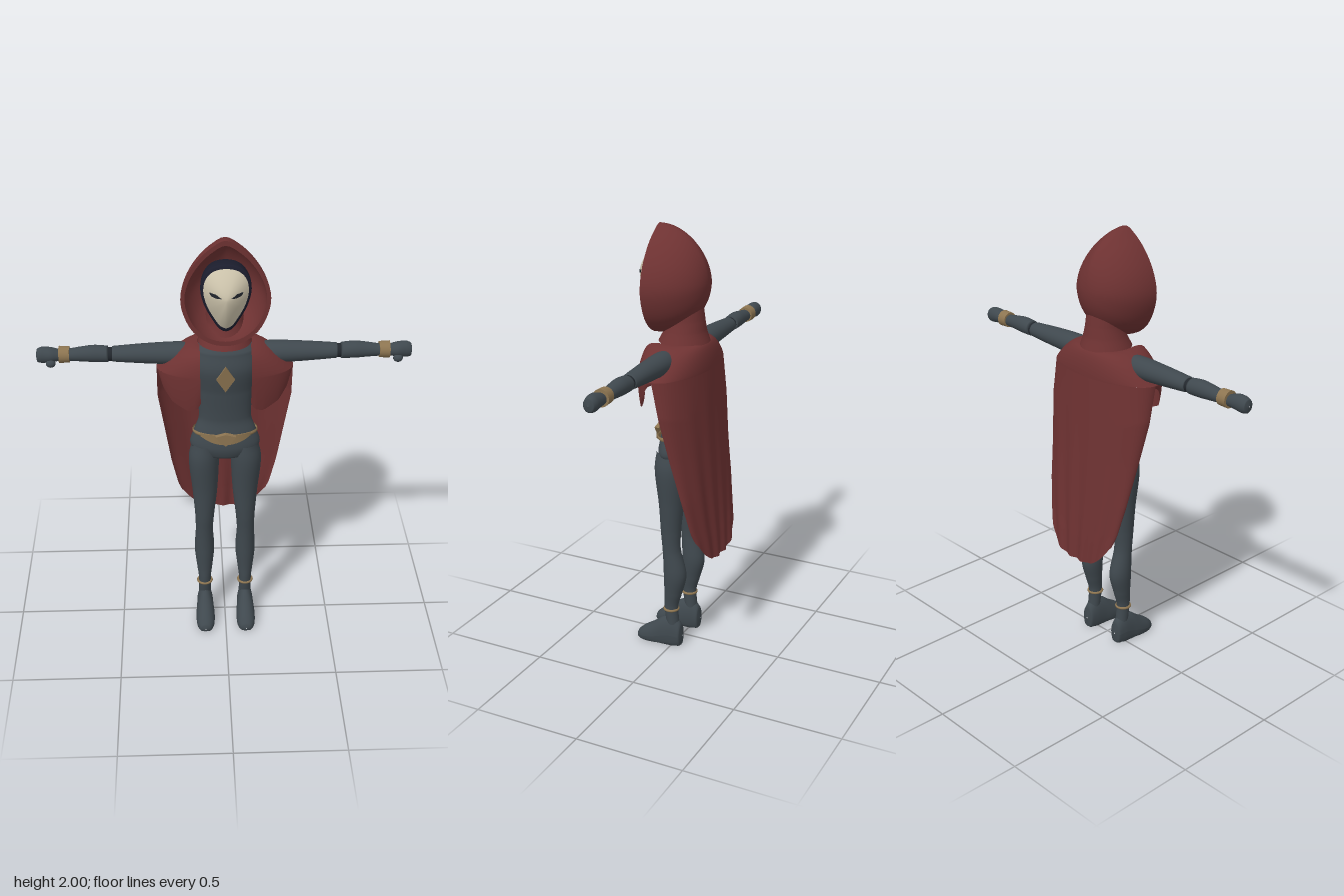
import * as THREE from 'three';
import { mergeVertices } from 'three/addons/utils/BufferGeometryUtils.js';
import { ParametricGeometry } from 'three/addons/geometries/ParametricGeometry.js';

const V = (x, y, z = 0) => new THREE.Vector3(x, y, z);
const TAU = Math.PI * 2;

// smooth tube of elliptical rings [a, centreU, centreV, radiusU, radiusV] along axis 'x', 'y' or 'z'
function loft(axis, rings, sides = 28, steps = 5) {
  const centre = new THREE.CatmullRomCurve3(rings.map(r => V(r[0], r[1], r[2])));
  const radius = new THREE.CatmullRomCurve3(rings.map(r => V(r[3], r[4])));
  return new ParametricGeometry((u, v, p) => {
    const c = centre.getPoint(v), r = radius.getPoint(v), t = u * TAU;
    const a = c.x, b = c.y + r.x * Math.cos(t), d = c.z + r.y * Math.sin(t);
    if (axis === 'x') p.set(a, b, d);
    else if (axis === 'y') p.set(d, a, b);
    else p.set(b, d, a);
  }, sides, (rings.length - 1) * steps);
}

// closed outline symmetric about x = 0, from its right half listed bottom to top
function outline(half) {
  const left = half.slice(1, -1).reverse().map(([x, y]) => V(-x, y));
  return new THREE.CatmullRomCurve3([...half.map(([x, y]) => V(x, y)), ...left], true);
}

// dome that shrinks an outline towards a centre height while moving along z
function dome(curve, cy, z0, depth, scale = 1, power = 2, root = 2) {
  return new ParametricGeometry((u, v, p) => {
    const o = curve.getPoint(depth < 0 ? 1 - u : u), s = Math.cos(v * 1.567);
    p.set(o.x * s * scale, cy + (o.y - cy) * s * scale, z0 + depth * Math.pow(Math.max(0, 1 - Math.pow(s, power)), 1 / root));
  }, 56, 20);
}

// linear lookup in a list of [key, value...] with falling keys
function lookup(table, key, col = 1) {
  let i = 0;
  while (i < table.length - 2 && key < table[i + 1][0]) i++;
  const [a, b] = [table[i], table[i + 1]];
  return THREE.MathUtils.lerp(a[col], b[col], THREE.MathUtils.clamp((key - a[0]) / (b[0] - a[0]), 0, 1));
}

function mirrored(geometry) {
  const g = geometry.index ? geometry.clone() : mergeVertices(geometry);
  g.scale(-1, 1, 1);
  const idx = g.index.array;
  for (let i = 0; i < idx.length; i += 3) [idx[i], idx[i + 1]] = [idx[i + 1], idx[i]];
  return g;
}

function plate(points, depth) {
  return new THREE.ExtrudeGeometry(new THREE.Shape(points.map(([x, y]) => new THREE.Vector2(x, y))), { depth, bevelEnabled: false });
}

export function createModel() {
  const model = new THREE.Group();
  model.name = 'hoodedFigure';
  const material = (name, color, side = THREE.FrontSide) => Object.assign(new THREE.MeshStandardMaterial({ color, side }), { name });
  const cloth = material('redCloth', 0x6e3232, THREE.DoubleSide);
  const suit = material('greySuit', 0x3f484e);
  const gold = material('dullGold', 0x8d7551, THREE.DoubleSide);
  const bone = material('boneMask', 0xcdc4ac);
  const navy = material('darkNavy', 0x1b1d2d);
  const dark = material('darkJoint', 0x22272d);

  const add = (name, geometry, mat) => {
    const mesh = new THREE.Mesh(geometry, mat);
    mesh.name = name;
    model.add(mesh);
    return mesh;
  };
  const addPair = (name, geometry, mat) => {
    add(name + 'Left', geometry, mat);
    add(name + 'Right', mirrored(geometry), mat);
  };

  // torso and neck
  add('torso', loft('y', [
    [0.895, 0.01, 0, 0.01, 0.01], [0.925, 0.01, 0, 0.068, 0.12], [0.98, 0.01, 0, 0.08, 0.16],
    [1.05, 0.012, 0, 0.068, 0.14], [1.12, 0.01, 0, 0.06, 0.118], [1.25, 0.01, 0, 0.07, 0.125],
    [1.38, 0.01, 0, 0.09, 0.15], [1.45, 0, 0, 0.085, 0.14], [1.49, 0, 0, 0.06, 0.09],
    [1.53, 0, 0, 0.045, 0.05], [1.65, 0.01, 0, 0.045, 0.045],
  ], 40), suit);

  // legs
  addPair('leg', loft('y', [
    [0.1, 0, 0.098, 0.03, 0.03], [0.2, 0.01, 0.098, 0.034, 0.029], [0.27, 0, 0.098, 0.043, 0.037],
    [0.37, -0.01, 0.098, 0.055, 0.047], [0.5, 0.008, 0.098, 0.043, 0.041], [0.58, 0.012, 0.096, 0.047, 0.045],
    [0.72, 0.01, 0.094, 0.058, 0.058], [0.9, 0.01, 0.097, 0.076, 0.07], [0.98, 0.01, 0.09, 0.07, 0.06],
  ]), suit);

  // boots with flat soles
  const boot = loft('z', [
    [-0.047, 0.098, 0.05, 0.004, 0.004], [-0.04, 0.098, 0.05, 0.03, 0.06], [0, 0.098, 0.055, 0.038, 0.09],
    [0.05, 0.098, 0.045, 0.041, 0.088], [0.1, 0.098, 0.03, 0.045, 0.066], [0.15, 0.098, 0.02, 0.041, 0.044],
    [0.18, 0.098, 0.015, 0.026, 0.022], [0.187, 0.098, 0.015, 0.003, 0.003],
  ]);
  const bp = boot.attributes.position;
  for (let i = 0; i < bp.count; i++) bp.setY(i, Math.max(0, bp.getY(i)));
  boot.computeVertexNormals();
  addPair('boot', boot, suit);
  addPair('anklet', new THREE.TorusGeometry(0.033, 0.006, 8, 28).rotateX(Math.PI / 2).translate(0.098, 0.185, 0.01), gold);

  // arms, elbows, bracelets and hands
  addPair('upperArm', loft('x', [
    [0.1, 1.425, 0, 0.045, 0.05], [0.2, 1.43, 0, 0.05, 0.055], [0.35, 1.431, 0, 0.044, 0.048],
    [0.46, 1.431, 0, 0.036, 0.042], [0.495, 1.431, 0, 0.033, 0.037], [0.498, 1.431, 0, 0.004, 0.004],
  ]), suit);
  addPair('elbow', new THREE.CylinderGeometry(0.031, 0.031, 0.05, 24).rotateZ(Math.PI / 2).translate(0.5, 1.43, 0), dark);
  addPair('forearm', loft('x', [
    [0.511, 1.431, 0, 0.005, 0.005], [0.514, 1.431, 0, 0.035, 0.037], [0.57, 1.434, 0, 0.038, 0.038],
    [0.63, 1.433, 0, 0.033, 0.034], [0.69, 1.43, 0, 0.027, 0.029], [0.75, 1.43, 0, 0.027, 0.029],
  ]), suit);
  addPair('bracelet', new THREE.CylinderGeometry(0.036, 0.038, 0.046, 24).rotateZ(Math.PI / 2).translate(0.706, 1.432, 0), gold);
  addPair('hand', loft('x', [
    [0.73, 1.43, 0, 0.026, 0.028], [0.765, 1.433, 0.003, 0.034, 0.034], [0.8, 1.432, 0, 0.037, 0.032],
    [0.824, 1.43, 0, 0.03, 0.026], [0.83, 1.43, 0, 0.003, 0.003],
  ]), suit);
  addPair('thumb', new THREE.SphereGeometry(0.018, 16, 12).scale(1.2, 1, 1).translate(0.765, 1.402, 0.029), suit);

  // belt, front sash, buckle and chest diamond
  add('belt', loft('y', [[1.042, 0.02, 0, 0.076, 0.146], [1.05, 0.02, 0, 0.08, 0.149], [1.06, 0.02, 0, 0.076, 0.146]], 40, 3), gold);
  add('beltSash', new ParametricGeometry((u, v, p) => {
    const t = (u - 0.5) * 1.7;
    p.set(Math.sin(t) * 0.15, 1.06 - (1 - v) * (0.015 + 0.035 * Math.cos(t * 1.8)), 0.02 + 0.082 * Math.cos(t));
  }, 20, 3), gold);
  add('buckle', plate([[-0.045, 0.018], [0, 0.03], [0.045, 0.018], [0.025, -0.012], [0, -0.03], [-0.025, -0.012]], 0.022), gold)
    .position.set(0, 1.045, 0.1);
  const diamond = add('chestDiamond', plate([[0, -0.066], [0.041, 0], [0, 0.066], [-0.041, 0]], 0.009), gold);
  diamond.position.set(0, 1.345, 0.093);
  diamond.rotation.x = 0.12;

  // yoke over the shoulders, open at the front
  const EDGE = 0.112;
  add('capeYoke', new ParametricGeometry((u, v, p) => {
    const k = v * Math.PI / 2, r = Math.sin(k), rx = 0.12 + 0.183 * r;
    const a = (u * 2 - 1) * (Math.PI - Math.asin(EDGE / rx)); // measured from the back
    const sx = Math.sin(a), c = Math.cos(a);
    const rz = c > 0 ? 0.11 + 0.035 * r : 0.125 + 0.035 * r;
    p.set(rx * sx, 1.37 + 0.12 * Math.pow(Math.max(0, Math.cos(k)), 1 + 1.2 * sx * sx), -rz * c);
  }, 72, 14), cloth);

  // front panels with a rounded hem
  const hem = [[0.305, 1.36], [0.28, 1.29], [0.24, 1.235], [0.17, 1.2], [0.13, 1.21], [0.11, 1.25]];
  const inner = Math.asin(EDGE / 0.303);
  addPair('frontPanel', new ParametricGeometry((u, v, p) => {
    const a = THREE.MathUtils.lerp(inner, Math.PI / 2, u), x = 0.303 * Math.sin(a);
    p.set(x * (1 - 0.02 * v * v), THREE.MathUtils.lerp(lookup(hem, x), 1.37, 1 - v), 0.16 * Math.cos(a) * (1 - 0.1 * v * v));
  }, 24, 10), cloth);

  // long back cape with soft folds: height, half width, edge z, back z
  const cape = [[1.37, 0.303, 0, -0.145], [1.2, 0.303, -0.035, -0.155], [1, 0.275, -0.075, -0.167],
    [0.8, 0.248, -0.12, -0.18], [0.65, 0.218, -0.15, -0.191], [0.6, 0.2, -0.165, -0.195], [0.48, 0.175, -0.19, -0.202]];
  add('backCape', new ParametricGeometry((u, v, p) => {
    const a = (u - 0.5) * Math.PI, s = Math.sin(a);
    const y = 1.37 - v * (1.37 - 0.48 - 0.12 * s ** 4);
    const z = THREE.MathUtils.lerp(lookup(cape, y, 2), lookup(cape, y, 3), Math.cos(a));
    p.set(lookup(cape, y) * s, y, z + 0.006 * v * Math.cos(s * 15) * Math.cos(a));
  }, 64, 36), cloth);

  // neck cowl
  add('neckCowl', loft('y', [
    [1.485, -0.01, 0, 0.115, 0.118], [1.53, -0.015, 0, 0.096, 0.1], [1.58, -0.02, 0, 0.083, 0.086], [1.64, -0.02, 0, 0.075, 0.08],
  ], 40), cloth);

  // hood: outer shell, lining and rim
  const hoodLine = outline([[0, 1.515], [0.075, 1.532], [0.14, 1.585], [0.18, 1.665], [0.192, 1.74], [0.172, 1.825],
    [0.125, 1.905], [0.065, 1.965], [0, 2]]);
  add('hoodShell', dome(hoodLine, 1.75, 0.11, -0.235), cloth);
  add('hoodLining', dome(hoodLine, 1.75, 0.11, -0.215, 0.91), cloth);
  add('hoodRim', new ParametricGeometry((u, v, p) => {
    const o = hoodLine.getPoint(u), s = 1 - 0.09 * v;
    p.set(o.x * s, 1.75 + (o.y - 1.75) * s, 0.11);
  }, 56, 1), cloth);

  // head and mask
  const faceLine = outline([[0, 1.61], [0.025, 1.622], [0.055, 1.665], [0.085, 1.725], [0.099, 1.79],
    [0.088, 1.845], [0.055, 1.88], [0, 1.892]]);
  add('headBack', dome(faceLine, 1.76, 0.13, -0.2, 1.09), navy);
  add('headFront', dome(faceLine, 1.76, 0.13, 0.025, 1.09), navy);
  add('mask', dome(faceLine, 1.77, 0.14, 0.066, 0.98, 1.6, 1), bone);

  // eye slits
  const eye = plate([[-0.028, -0.007], [-0.005, -0.01], [0.02, -0.005], [0.03, 0.008], [0, 0.007]], 0.009);
  addPair('eyeSlit', eye.rotateY(0.55).translate(0.041, 1.787, 0.181), dark);

  return model;
}
